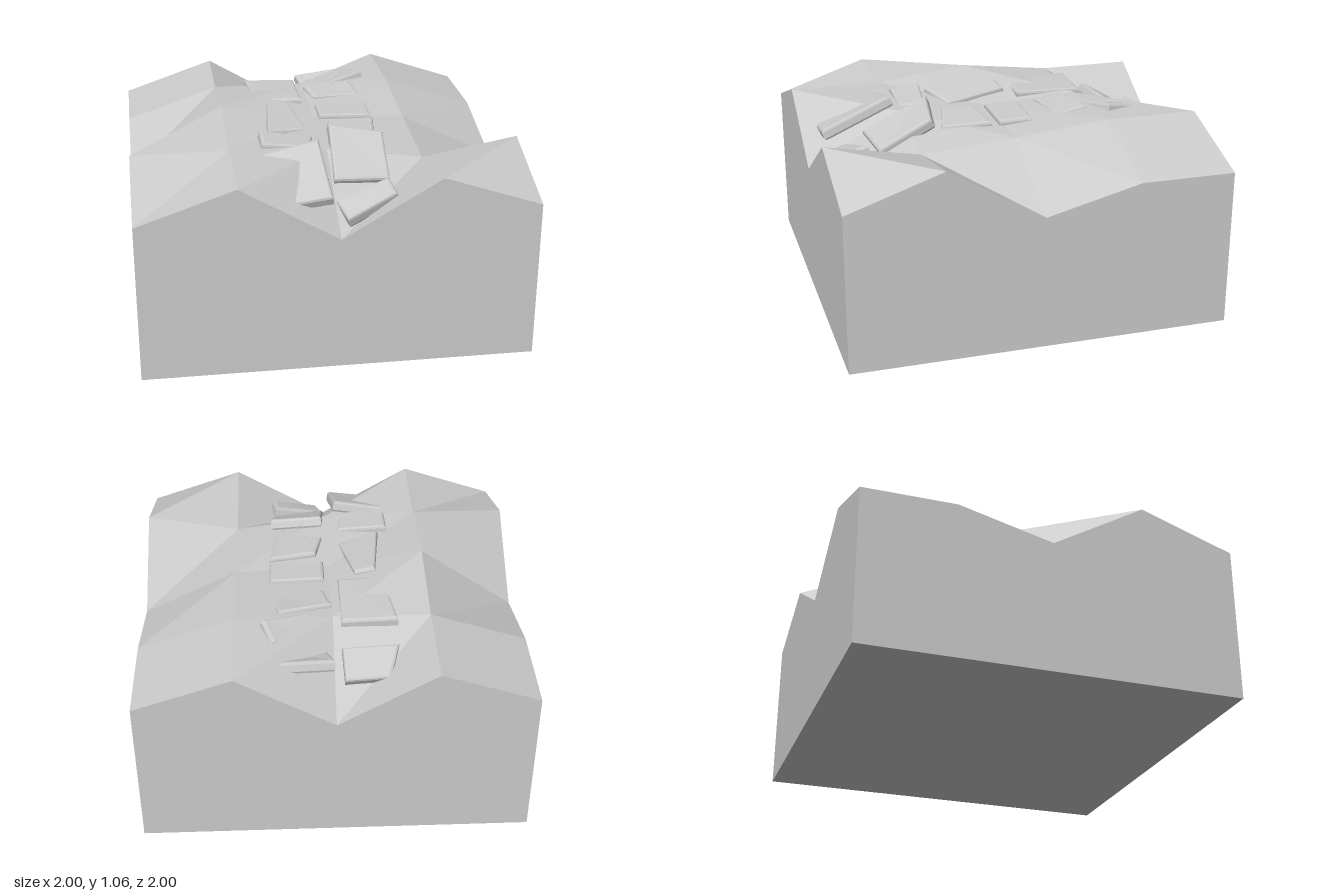
import * as THREE from 'three';

const material = new THREE.MeshStandardMaterial({ color: 0xcccccc, flatShading: true });
const V = (x, y, z) => new THREE.Vector3(x, y, z);

// Mesh from a list of four-cornered faces, each split along its first-third corner
function meshFromQuads(name, quads) {
  const points = quads.flatMap(([a, b, c, d]) => [a, b, c, a, c, d]);
  const geometry = new THREE.BufferGeometry().setFromPoints(points);
  geometry.computeVertexNormals();
  const mesh = new THREE.Mesh(geometry, material);
  mesh.name = name;
  return mesh;
}

// Ground heights: rows run back to front, columns run from -x to +x
const HEIGHTS = [
  [0.83, 1.0, 0.705, 1.0, 0.83],
  [0.83, 1.0, 1.0, 1.0, 0.83],
  [0.705, 1.06, 0.97, 0.95, 0.705],
  [1.0, 1.0, 0.985, 0.91, 1.0],
  [0.83, 1.0, 0.705, 1.0, 0.83],
];

function createGround() {
  const top = (i, j) => V(-1 + i / 2, HEIGHTS[j][i], -1 + j / 2);
  const foot = (i, j) => top(i, j).setY(0);
  const quads = [];
  // hilly top
  for (let j = 0; j < 4; j++) {
    for (let i = 0; i < 4; i++) {
      quads.push([top(i, j + 1), top(i + 1, j + 1), top(i + 1, j), top(i, j)]);
    }
  }
  // four cut walls
  const wall = (i, j, k, l) => quads.push([foot(i, j), foot(k, l), top(k, l), top(i, j)]);
  for (let n = 0; n < 4; n++) {
    wall(n, 4, n + 1, 4);
    wall(n + 1, 0, n, 0);
    wall(4, n + 1, 4, n);
    wall(0, n, 0, n + 1);
  }
  // underside
  quads.push([foot(0, 0), foot(4, 0), foot(4, 4), foot(0, 4)]);
  return meshFromQuads('ground', quads);
}

// Paving slab from its top corners: back left, back right, front right, front left
function createSlab(corners) {
  const c = corners.map((p) => V(...p));
  const up = c[3].clone().sub(c[1]).cross(c[0].clone().sub(c[2])).normalize();
  if (up.y < 0) up.negate();
  const centre = c.reduce((sum, p) => sum.add(p), V(0, 0, 0)).multiplyScalar(0.25);
  // rounded edge profile: [depth below the top, inset from the rim]
  const profile = [[0.06, 0.01], [0.05, 0], [0.015, 0], [0.005, 0.006], [0, 0.02]];
  const loops = profile.map(([depth, inset]) => c.map((p) => {
    const inward = centre.clone().sub(p).normalize();
    return p.clone().addScaledVector(up, -depth).addScaledVector(inward, inset);
  }));
  const quads = [];
  for (let k = 0; k + 1 < loops.length; k++) {
    const low = loops[k], high = loops[k + 1];
    for (let i = 0; i < 4; i++) {
      const j = (i + 1) % 4;
      quads.push([low[j], low[i], high[i], high[j]]);
    }
  }
  const [t0, t1, t2, t3] = loops[loops.length - 1];
  quads.push([t0, t3, t2, t1], loops[0]);
  return meshFromQuads('pavingSlab', quads);
}

const RIGHT_ROW = [
  [[0, 0.955, -0.8], [0.28, 0.975, -0.84], [0.33, 0.88, -0.62], [0.05, 0.89, -0.6]],
  [[0.06, 0.96, -0.6], [0.31, 1.01, -0.72], [0.36, 1.04, -0.57], [0.1, 1.0, -0.45]],
  [[0, 1.02, -0.41], [0.28, 1.015, -0.47], [0.31, 0.99, -0.3], [0.04, 1.0, -0.25]],
  [[0.03, 1.0, -0.15], [0.32, 0.99, -0.15], [0.32, 0.985, 0.03], [0.03, 0.995, 0.03]],
  [[0.07, 1.0, 0.1], [0.32, 0.985, 0.07], [0.28, 0.97, 0.34], [0.03, 0.995, 0.27]],
  [[0.03, 1.07, 0.36], [0.31, 1.03, 0.4], [0.3, 0.88, 0.68], [0.01, 0.9, 0.71]],
  [[0, 0.83, 0.8], [0.28, 0.91, 0.73], [0.3, 0.88, 0.86], [0.04, 0.79, 0.95]],
];
const LEFT_ROW = [
  [[-0.28, 0.86, -0.83], [-0.05, 0.86, -0.85], [-0.04, 0.95, -0.69], [-0.33, 0.95, -0.67]],
  [[-0.33, 1.02, -0.55], [-0.04, 1.01, -0.55], [-0.04, 1.02, -0.18], [-0.28, 1.02, -0.18]],
  [[-0.24, 1.04, -0.12], [-0.13, 1.025, -0.13], [-0.06, 0.985, 0.21], [-0.28, 1.015, 0.29]],
  [[-0.33, 1.03, 0.31], [-0.05, 0.995, 0.34], [-0.08, 0.99, 0.48], [-0.33, 1.02, 0.48]],
  [[-0.34, 1.0, 0.56], [-0.05, 1.06, 0.54], [-0.03, 0.9, 0.92], [-0.27, 0.87, 0.92]],
];

export function createModel() {
  const model = new THREE.Group();
  model.name = 'hillPath';
  model.add(createGround());
  for (const [name, row] of [['rightSlabRow', RIGHT_ROW], ['leftSlabRow', LEFT_ROW]]) {
    const group = new THREE.Group();
    group.name = name;
    row.forEach((corners) => group.add(createSlab(corners)));
    model.add(group);
  }
  return model;
}
